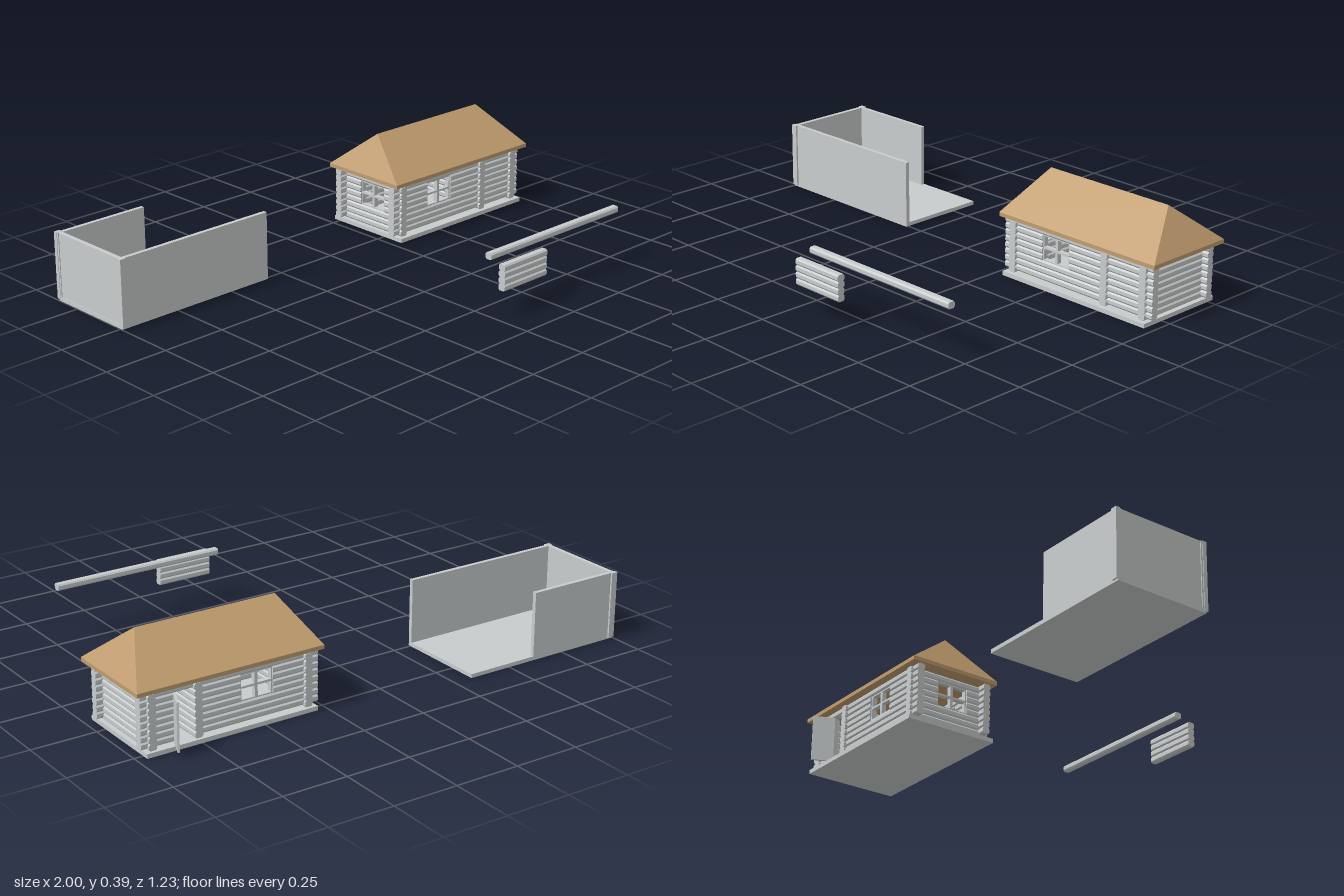
import * as THREE from 'three';
import { mergeGeometries } from 'three/addons/utils/BufferGeometryUtils.js';

const grey = new THREE.MeshStandardMaterial({ color: 0xc8cccc });
grey.name = 'pale grey';
const tan = new THREE.MeshStandardMaterial({ color: 0xc09c6e });
tan.name = 'tan roof';

const LOG_H = 0.025, LOG_W = 0.03;

function add(parent, name, geometry, material = grey) {
  const mesh = new THREE.Mesh(geometry, material);
  mesh.name = name;
  parent.add(mesh);
  return mesh;
}

// Box given by its minimum and maximum along each axis
function span(x0, x1, y0, y1, z0, z1) {
  return new THREE.BoxGeometry(x1 - x0, y1 - y0, z1 - z0)
    .translate((x0 + x1) / 2, (y0 + y1) / 2, (z0 + z1) / 2);
}

// Chamfered log running from a to b along x or z
function logGeometry(axis, a, b, across, y) {
  const w = LOG_W / 2, h = LOG_H / 2, cx = 0.005, cy = 0.006;
  const shape = new THREE.Shape([
    [w, -h + cy], [w, h - cy], [w - cx, h], [-w + cx, h],
    [-w, h - cy], [-w, -h + cy], [-w + cx, -h], [w - cx, -h],
  ].map(([u, v]) => new THREE.Vector2(u, v)));
  const g = new THREE.ExtrudeGeometry(shape, { depth: b - a, bevelEnabled: false });
  if (axis === 'x') return g.rotateY(Math.PI / 2).translate(a, y, across);
  return g.translate(across, y, a);
}

// Stack of logs, cut where an opening {a, b, y0, y1} falls
function logWall(axis, a, b, across, bottom, count, openings = []) {
  const logs = [];
  for (let i = 0; i < count; i++) {
    const y = bottom + (i + 0.5) * LOG_H;
    let start = a;
    for (const o of openings) {
      if (y < o.y0 || y > o.y1) continue;
      logs.push(logGeometry(axis, start, o.a, across, y));
      start = o.b;
    }
    logs.push(logGeometry(axis, start, b, across, y));
  }
  return mergeGeometries(logs);
}

// Thin frame with a cross of glazing bars
function windowFrame(axis, o, across) {
  const t = 0.005, d = 0.009, mid = (o.a + o.b) / 2, midY = (o.y0 + o.y1) / 2;
  const bars = [
    [o.a, o.a + t, o.y0, o.y1], [o.b - t, o.b, o.y0, o.y1],
    [o.a, o.b, o.y0, o.y0 + t], [o.a, o.b, o.y1 - t, o.y1],
    [mid - 0.006, mid + 0.006, o.y0, o.y1], [o.a, o.b, midY - 0.004, midY + 0.004],
  ];
  return mergeGeometries(bars.map(([p, q, y0, y1]) => axis === 'x'
    ? span(p, q, y0, y1, across - d, across + d)
    : span(across - d, across + d, y0, y1, p, q)));
}

// Hipped roof: eave band with sloping faces above and a flat underside
function roofGeometry() {
  const x0 = 0.262, x1 = 0.998, z0 = -0.53, z1 = -0.155, zr = -0.3425;
  const lo = 0.225, hi = 0.24, top = 0.387;
  const ring = (y) => [[x0, y, z1], [x1, y, z1], [x1, y, z0], [x0, y, z0]];
  const b = ring(lo), e = ring(hi);
  const r0 = [0.34, top, zr], r1 = [0.895, top, zr];
  const tris = [];
  const quad = (p, q, r, s) => tris.push(p, q, r, p, r, s);
  for (let i = 0; i < 4; i++) {
    const j = (i + 1) % 4;
    quad(b[i], b[j], e[j], e[i]);
  }
  quad(b[3], b[2], b[1], b[0]);
  quad(e[0], e[1], r1, r0);
  quad(e[2], e[3], r0, r1);
  tris.push(e[1], e[2], r1, e[3], e[0], r0);
  const g = new THREE.BufferGeometry();
  g.setAttribute('position', new THREE.Float32BufferAttribute(tris.flat(), 3));
  g.computeVertexNormals();
  return g;
}

function createCabin() {
  const cabin = new THREE.Group();
  cabin.name = 'logCabin';
  const longY = 0.0225, crossY = 0.0165;
  const frontZ = -0.195, backZ = -0.49, windowSideX = 0.315;
  const longWindow = { a: 0.455, b: 0.585, y0: 0.0975, y1: 0.1975 };
  const sideWindow = { a: -0.395, b: -0.265, y0: 0.0915, y1: 0.1915 };
  const doorway = { a: 0.765, b: 0.845, y0: 0, y1: 0.1975 };

  add(cabin, 'cabinFloor', span(0.285, 0.965, 0, 0.0165, -0.527, -0.153));

  // Long walls
  add(cabin, 'frontWall', logWall('x', 0.27, 0.975, frontZ, longY, 8, [longWindow]));
  add(cabin, 'backWall', logWall('x', 0.27, 0.975, backZ, longY, 8, [longWindow, doorway]));
  add(cabin, 'frontWindow', windowFrame('x', longWindow, frontZ));
  add(cabin, 'backWindow', windowFrame('x', longWindow, backZ));

  // Cross walls, half a step out so the corners interlock
  add(cabin, 'rightWall', logWall('z', -0.515, -0.17, windowSideX, crossY, 8, [sideWindow]));
  add(cabin, 'partitionWall', logWall('z', -0.515, -0.17, 0.757, crossY, 8));
  add(cabin, 'leftWall', logWall('z', -0.515, -0.17, 0.935, crossY, 8));
  add(cabin, 'sideWindow', windowFrame('z', sideWindow, windowSideX));

  // Door standing open on its hinge
  const door = add(cabin, 'door', span(0, 0.084, 0.018, 0.1975, -0.004, 0.004));
  door.position.set(0.842, 0, -0.5);
  door.rotation.y = Math.atan2(0.077, 0.033);

  add(cabin, 'roof', roofGeometry(), tan);
  return cabin;
}

// Open-ended tray with one short side
function createTray() {
  const tray = new THREE.Group();
  tray.name = 'openTray';
  add(tray, 'trayFloor', span(-0.998, -0.325, 0, 0.015, -0.61, -0.24));
  add(tray, 'trayFrontWall', span(-0.998, -0.325, 0.002, 0.263, -0.256, -0.24));
  add(tray, 'trayBackWall', span(-0.998, -0.613, 0.002, 0.263, -0.61, -0.594));
  add(tray, 'trayEndWall', span(-0.995, -0.978, 0.007, 0.263, -0.594, -0.256));
  for (const z of [-0.609, -0.241]) {
    add(tray, 'trayCornerPost', span(-1, -0.975, 0.007, 0.264, z - 0.008, z + 0.008));
  }
  return tray;
}

export function createModel() {
  const model = new THREE.Group();
  model.name = 'cabinKit';
  model.add(createCabin(), createTray());

  // Loose parts laid out in front
  add(model, 'looseBeam', logGeometry('x', 0.027, 0.723, 0.537, 0.2125));
  add(model, 'looseLogPanel', logWall('x', 0.027, 0.25, 0.602, 0.1, 4));
  return model;
}
